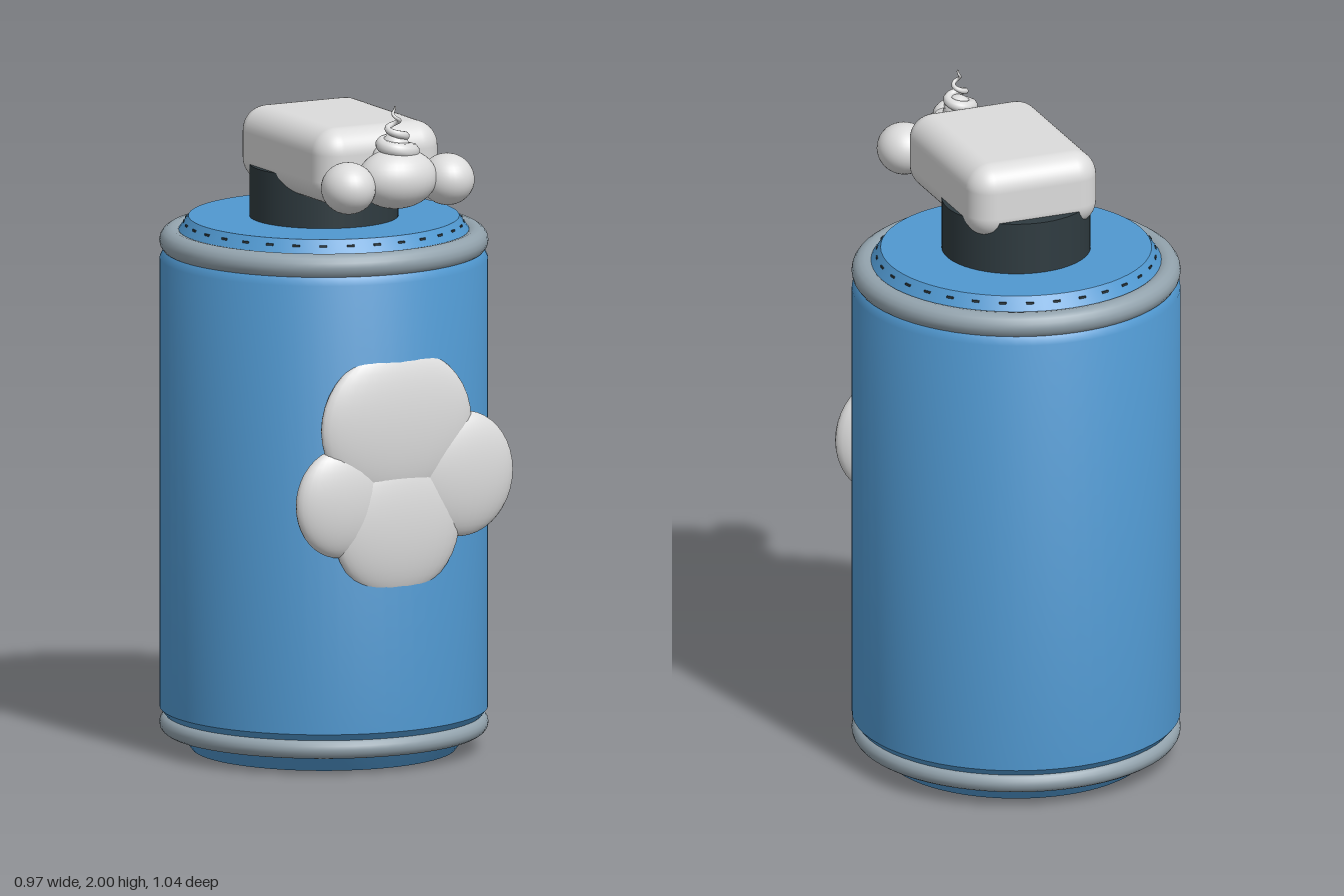
import * as THREE from 'three';
import { toCreasedNormals } from 'three/addons/utils/BufferGeometryUtils.js';
import { RoundedBoxGeometry } from 'three/addons/geometries/RoundedBoxGeometry.js';

const material = (name, color) => {
  const m = new THREE.MeshStandardMaterial({ color });
  m.name = name;
  return m;
};

export function createModel() {
  const blue = material('canBlue', 0x5098d0);
  const steel = material('rimGrey', 0x93a3ad);
  const dark = material('neckDark', 0x2f3b40);
  const white = material('foamWhite', 0xdcdcdc);
  const root = new THREE.Group();
  root.name = 'sprayCan';

  const add = (parent, name, geometry, mat, x, y, z) => {
    const mesh = new THREE.Mesh(geometry, mat);
    mesh.name = name;
    mesh.position.set(x, y, z);
    parent.add(mesh);
    return mesh;
  };
  const ellipsoid = (parent, name, [x, y, z], [rx, ry, rz]) =>
    add(parent, name, new THREE.SphereGeometry(1, 32, 20).scale(rx, ry, rz), white, x, y, z);

  // Can, with its axis slightly behind the origin
  const can = new THREE.Group();
  can.name = 'can';
  can.position.z = -0.035;
  root.add(can);
  const profile = [
    [0, 0], [0.39, 0], [0.425, 0.045], [0.465, 0.1], [0.485, 0.125],
    [0.485, 1.47], [0.475, 1.49], [0.425, 1.56], [0.4, 1.595], [0, 1.595],
  ].map(([r, y]) => new THREE.Vector2(r, y));
  add(can, 'body', toCreasedNormals(new THREE.LatheGeometry(profile, 64), 0.6), blue, 0, 0, 0);

  // Rolled rims
  const rim = (name, y, tube) =>
    add(can, name, new THREE.TorusGeometry(0.486 - tube, tube, 16, 64).rotateX(Math.PI / 2), steel, 0, y, 0);
  rim('topRim', 1.523, 0.038);
  rim('bottomRim', 0.078, 0.03);

  // Fine dashed seam around the shoulder
  for (let i = 0; i < 32; i++) {
    const a = (i + 0.5) / 32 * Math.PI * 2;
    const dash = add(can, 'seamDash', new THREE.BoxGeometry(0.022, 0.006, 0.004), dark,
      0.413 * Math.sin(a), 1.577, 0.413 * Math.cos(a));
    dash.rotation.y = a;
  }
  add(can, 'neck', new THREE.CylinderGeometry(0.22, 0.22, 0.17, 48), dark, 0, 1.667, 0);

  // Nozzle head
  add(root, 'nozzle', new RoundedBoxGeometry(0.41, 0.23, 0.565, 6, 0.075), white, 0, 1.805, 0.067);

  // Foam puffs at the front of the nozzle
  const foam = new THREE.Group();
  foam.name = 'foam';
  root.add(foam);
  ellipsoid(foam, 'middlePuff', [0, 1.78, 0.425], [0.125, 0.09, 0.095]);
  ellipsoid(foam, 'rearPuff', [0, 1.83, 0.36], [0.045, 0.045, 0.035]);
  for (const s of [-1, 1]) {
    ellipsoid(foam, 'sidePuff', [s * 0.165, 1.765, 0.43], [0.08, 0.077, 0.085]);
  }

  // Tapering swirl: a spiral tube whose rings shrink towards the tip
  const turns = 3, steps = 120, sides = 10;
  const spiral = [];
  for (let i = 0; i <= 60; i++) {
    const t = i / 60, a = t * turns * Math.PI * 2;
    const r = 0.048 * Math.pow(1 - t, 1.1);
    spiral.push(new THREE.Vector3(r * Math.cos(a), 1.855 + 0.14 * t, 0.412 + r * Math.sin(a)));
  }
  const curve = new THREE.CatmullRomCurve3(spiral);
  const swirl = new THREE.TubeGeometry(curve, steps, 1, sides, false);
  const pos = swirl.attributes.position, v = new THREE.Vector3();
  for (let i = 0; i <= steps; i++) {
    const centre = curve.getPointAt(i / steps);
    const radius = 0.003 + 0.025 * (1 - i / steps);
    for (let j = 0; j <= sides; j++) {
      const k = i * (sides + 1) + j;
      v.fromBufferAttribute(pos, k).sub(centre).multiplyScalar(radius).add(centre);
      pos.setXYZ(k, v.x, v.y, v.z);
    }
  }
  add(foam, 'swirl', swirl, white, 0, 0, 0);
  ellipsoid(foam, 'swirlCore', [0, 1.865, 0.412], [0.045, 0.05, 0.045]);

  // Flattened cluster of lobes on the front of the can
  const emblem = new THREE.Group();
  emblem.name = 'frontLobes';
  root.add(emblem);
  ellipsoid(emblem, 'topLobe', [0, 1.04, 0.42], [0.25, 0.23, 0.055]);
  ellipsoid(emblem, 'bottomLobe', [0, 0.74, 0.42], [0.21, 0.215, 0.055]);
  ellipsoid(emblem, 'rightLobe', [-0.18, 0.82, 0.415], [0.15, 0.165, 0.053]);
  ellipsoid(emblem, 'leftLobe', [0.22, 0.875, 0.415], [0.17, 0.188, 0.056]);

  return root;
}
